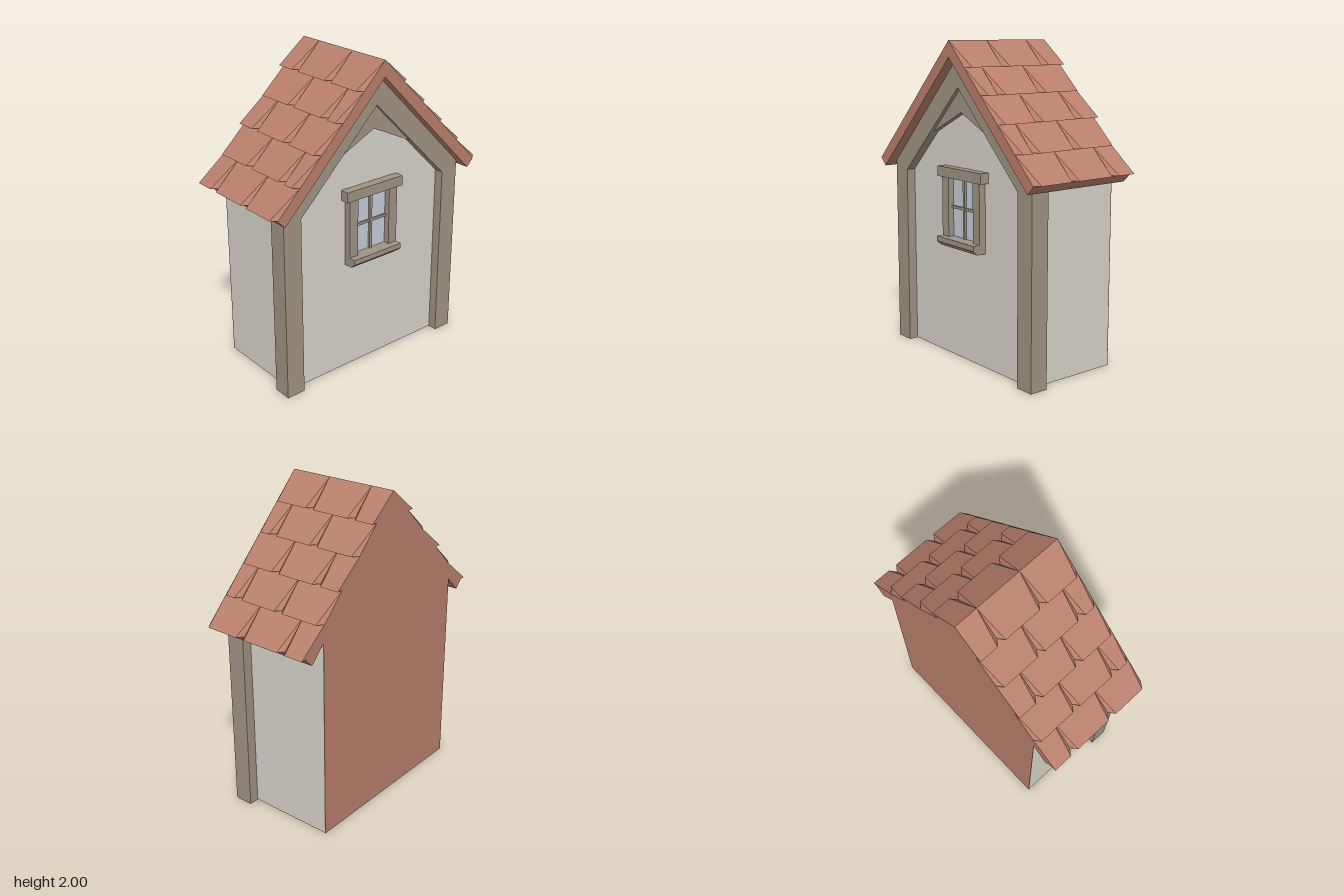
import * as THREE from 'three';
import { mergeGeometries } from 'three/addons/utils/BufferGeometryUtils.js';

const flat = (name, color) => {
  const m = new THREE.MeshStandardMaterial({ color });
  m.name = name;
  return m;
};

export function createModel() {
  const group = new THREE.Group();
  const roofRed = flat('roof red', 0xb97f6c);
  const plaster = flat('plaster', 0xd6d3c9);
  const timber = flat('timber', 0x9f9384);
  const glass = flat('glass', 0xc4cdd8);

  const add = (name, geometry, material) => {
    const mesh = new THREE.Mesh(geometry, material);
    mesh.name = name;
    group.add(mesh);
  };

  // Extrudes a half outline of [z, y] points, mirrored over z = 0, from x0 to x1.
  // The half outline runs from +z round to the centre line.
  const mirrored = (half) => [
    ...half,
    ...half.filter(([z]) => z > 0).reverse().map(([z, y]) => [-z, y]),
  ];
  const prism = (points, x0, x1) => {
    const shape = new THREE.Shape(points.map(([z, y]) => new THREE.Vector2(z, y)));
    return new THREE.ExtrudeGeometry(shape, { depth: x1 - x0, bevelEnabled: false })
      .rotateY(Math.PI / 2).translate(x0, 0, 0);
  };
  // Box given by its limits
  const box = (x0, x1, y0, y1, z0, z1) =>
    new THREE.BoxGeometry(x1 - x0, y1 - y0, z1 - z0)
      .translate((x0 + x1) / 2, (y0 + y1) / 2, (z0 + z1) / 2);

  // Walls, with a red sheet closing the back end
  const gable = (bottom) => mirrored([[0.625, bottom], [0.625, 1.275], [0, 1.9]]);
  add('walls', prism(gable(0.002), -0.37, 0.25), plaster);
  add('backSheet', prism(gable(0), -0.375, -0.37), roofRed);

  // Corner posts and sloping rafters in one frame, with an arched brace at the peak
  const frame = [
    ...mirrored([[0.69, 0], [0.69, 1.21], [0, 1.9]]),
    ...mirrored([[0.565, 0], [0.565, 1.16], [0, 1.72]]).reverse(),
  ];
  add('gableFrame', prism(frame, 0.19, 0.31), timber);
  add('peakBrace', prism([[0.295, 1.43], [0, 1.72], [-0.295, 1.43], [0, 1.57]], 0.19, 0.285), timber);

  // Roof slab
  const slab = [
    [0, 2], [0.775, 1.225], [0.725, 1.175], [0, 1.9],
    [-0.725, 1.175], [-0.775, 1.225],
  ];
  add('roofSlab', prism(slab, -0.375, 0.375), roofRed);

  // Wedge tile with a raised lower lip; side is +1 or -1 in z
  const tile = (x0, x1, inL, inR, row, side) => {
    const step = 0.154;
    const top = row * step;
    const low = top + step;
    const corners = [
      [x0, 2 - top, top], [x1, 2 - top, top],
      [x0, 2 - low, low], [x1, 2 - low, low],
      [x0 + inL, 2 - low, low + 0.04], [x1 - inR, 2 - low, low + 0.04],
    ];
    const faces = [[0, 4, 5], [0, 5, 1], [0, 2, 4], [1, 5, 3], [2, 3, 5], [2, 5, 4]];
    const pos = [];
    for (const f of faces) {
      for (const i of side > 0 ? f : [...f].reverse()) {
        const [x, y, z] = corners[i];
        pos.push(x, y, z * side);
      }
    }
    const g = new THREE.BufferGeometry();
    g.setAttribute('position', new THREE.Float32BufferAttribute(pos, 3));
    g.computeVertexNormals();
    return g;
  };

  // Five staggered courses on each slope
  for (const side of [1, -1]) {
    const tiles = [];
    for (let row = 0; row < 5; row++) {
      const odd = row % 2 === 1;
      const joints = odd ? [-0.375, -0.065, 0.248, 0.375] : [-0.375, -0.22, 0.092, 0.375];
      for (let i = 0; i < 3; i++) {
        const inL = i === 0 && !odd ? 0 : 0.03;
        tiles.push(tile(joints[i], joints[i + 1], inL, 0.03, row, side));
      }
    }
    add(side > 0 ? 'frontTiles' : 'backTiles', mergeGeometries(tiles), roofRed);
  }

  // Window
  add('windowPane', box(0.25, 0.256, 0.78, 1.165, -0.13, 0.13), glass);
  for (const s of [1, -1]) {
    add('windowJamb', box(0.25, 0.295, 0.78, 1.165, s * 0.1575 - 0.0325, s * 0.1575 + 0.0325), timber);
  }
  add('windowLintel', box(0.25, 0.308, 1.16, 1.225, -0.22, 0.22), timber);
  add('windowMullion', box(0.25, 0.27, 0.78, 1.165, -0.009, 0.009), timber);
  add('windowCrossbar', box(0.25, 0.268, 0.965, 0.982, -0.13, 0.13), timber);

  // Sill with a chamfered underside
  const sill = new THREE.Shape([[0.25, 0.725], [0.31, 0.725], [0.34, 0.753], [0.34, 0.785], [0.25, 0.785]]
    .map(([x, y]) => new THREE.Vector2(x, y)));
  add('windowSill', new THREE.ExtrudeGeometry(sill, { depth: 0.38, bevelEnabled: false })
    .translate(0, 0, -0.19), timber);

  return group;
}
